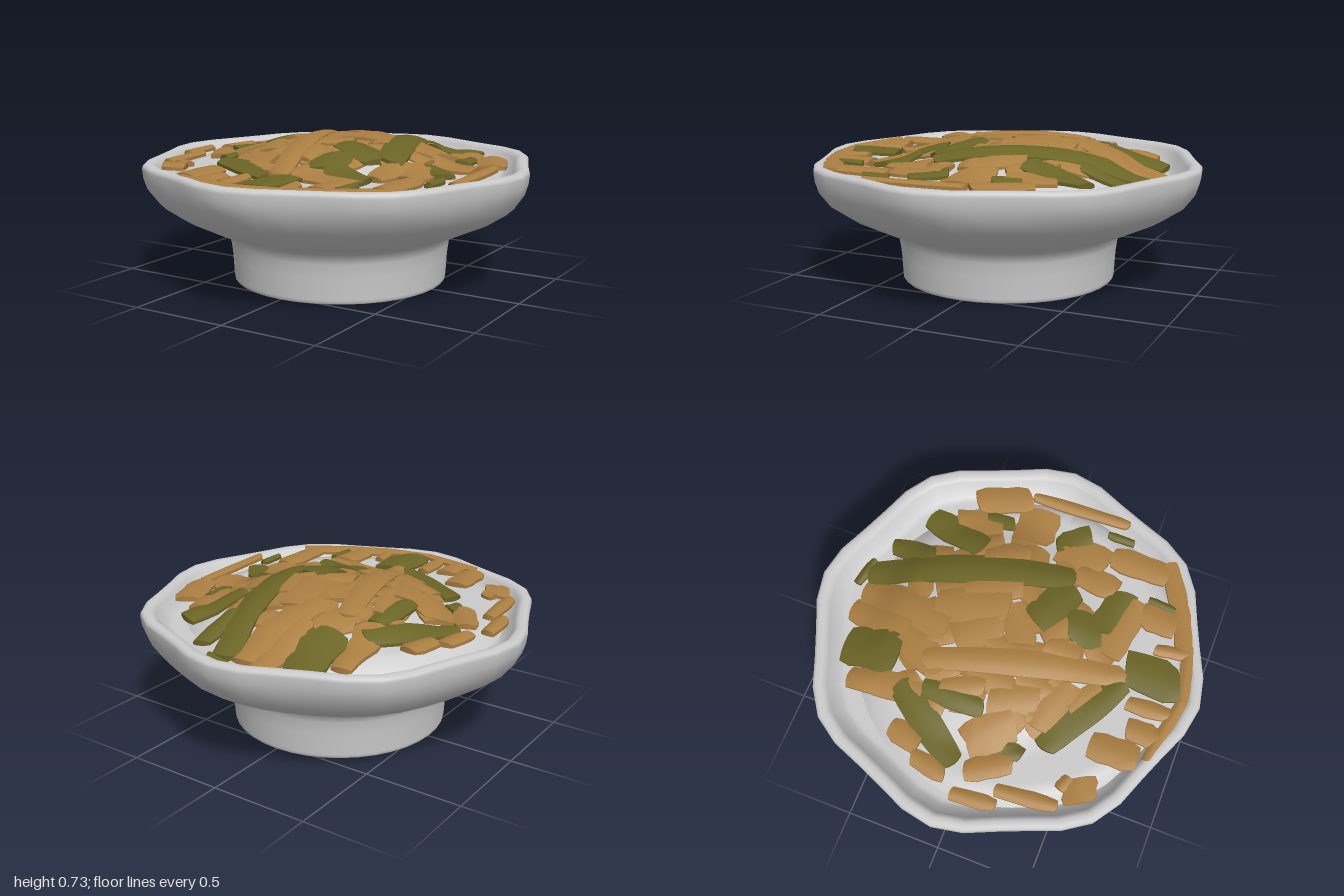
import * as THREE from 'three';
import { mergeVertices } from 'three/addons/utils/BufferGeometryUtils.js';

const mat = (color, side = THREE.FrontSide) =>
  new THREE.MeshStandardMaterial({ color, side });

// Small seeded generator for the irregular cuts
let seed = 7;
const rnd = () => {
  seed = (seed * 16807) % 2147483647;
  return seed / 2147483647;
};

// Height of the heaped food: a low dome on a nearly flat bed, lower at the back
function heapHeight(x, z) {
  const r = Math.hypot(x, z + 0.08) / 0.6;
  const dome = r < 1 ? 0.106 * (1 - Math.pow(r, 2.4)) : 0;
  const backDrop = 0.28 * Math.max(0, -z - 0.57);
  return 0.6 + dome - backDrop;
}

// Dish: one turned profile whose upper part is pulled into eight soft lobes
function dishGeometry() {
  const profile = [
    [0, 0.06], [0.445, 0.06], [0.458, 0.055], [0.5, 0.02], [0.525, 0.003], [0.542, 0],
    [0.548, 0.006], [0.55, 0.02], [0.556, 0.13], [0.565, 0.2], [0.58, 0.25], [0.7, 0.3], [0.82, 0.355],
    [0.92, 0.42], [0.977, 0.495], [0.995, 0.55], [1, 0.595], [0.997, 0.611], [0.983, 0.62],
    [0.955, 0.62], [0.938, 0.612], [0.928, 0.597], [0.9, 0.56], [0.87, 0.537], [0.857, 0.531],
    [0.84, 0.528], [0.5, 0.51], [0, 0.51],
  ].map(([r, y]) => new THREE.Vector2(r, y));
  const g = new THREE.LatheGeometry(profile, 40);
  const p = g.attributes.position;
  for (let i = 0; i < p.count; i++) {
    const x = p.getX(i), z = p.getZ(i);
    const lobe = 0.025 * THREE.MathUtils.smoothstep(p.getY(i), 0.24, 0.55);
    const k = 1 - lobe * (1 - Math.cos(8 * Math.atan2(x, z)));
    p.setX(i, x * k);
    p.setZ(i, z * k);
  }
  g.deleteAttribute('uv');
  g.deleteAttribute('normal');
  const merged = mergeVertices(g, 1e-4);
  merged.computeVertexNormals();
  return merged;
}

// Pale bed under the pieces, with its edge turned down into the dish
function bedGeometry() {
  const g = new THREE.RingGeometry(0.001, 0.82, 40, 14);
  g.rotateX(-Math.PI / 2);
  const p = g.attributes.position;
  for (let i = 0; i < p.count; i++) {
    const x = p.getX(i), z = p.getZ(i) + 0.07;
    const edge = Math.hypot(x, z - 0.07) > 0.81;
    p.setXYZ(i, x, edge ? 0.53 : heapHeight(x, z) - 0.01, z);
  }
  g.computeVertexNormals();
  return g;
}

// One flat cut piece from (x1,z1) to (x2,z2), draped over the heap
function pieceGeometry([x1, z1, x2, z2, width], lift) {
  const dx = x2 - x1, dz = z2 - z1, len = Math.hypot(dx, dz);
  const ux = dx / len, uz = dz / len;
  const thick = 0.018;
  const steps = Math.max(4, Math.ceil(len / 0.07));
  const g = new THREE.BoxGeometry(1, 1, 1, steps, 1, 4);
  const p = g.attributes.position;
  const skew = (rnd() - 0.5) * 0.6, phase = rnd() * 6, tilt = (rnd() - 0.5) * 0.08;
  for (let i = 0; i < p.count; i++) {
    const t = p.getX(i), s = p.getZ(i), top = p.getY(i) > 0;
    const taper = 1.07 - 0.2 * Math.pow(Math.abs(2 * t), 5) + 0.06 * Math.sin(t * 9 + phase);
    const along = t * len * (1.03 - 0.25 * s * s) + s * skew * width;
    const across = s * width * taper;
    const x = (x1 + x2) / 2 + ux * along - uz * across;
    const z = (z1 + z2) / 2 + uz * along + ux * across;
    const crown = top ? thick * (1 - 3 * s * s) : -thick * 0.6;
    p.setXYZ(i, x, heapHeight(x, z) + lift + crown + tilt * across, z);
  }
  g.computeVertexNormals();
  return g;
}

// Each piece: start x, z, end x, z, width
const greenPieces = [
  [-0.3, -0.75, -0.28, -0.46, 0.2], [0.28, -0.74, 0.28, -0.5, 0.1], [0.49, -0.61, 0.4, -0.28, 0.14],
  [-0.42, -0.4, -0.68, -0.01, 0.13], [-0.4, -0.28, -0.4, 0.03, 0.1], [-0.46, 0.36, -0.02, 0.61, 0.12],
  [0.07, 0.6, 0.07, 0.87, 0.19], [0.1, 0.1, 0.35, 0.23, 0.16], [0.16, 0.26, 0.17, 0.43, 0.17],
  [0.19, 0.42, 0.44, 0.47, 0.14], [0.55, 0.06, 0.68, 0.2, 0.13], [0.72, 0.28, 0.72, 0.42, 0.04],
  [-0.53, 0.19, -0.53, 0.28, 0.08], [0.58, -0.33, 0.6, -0.19, 0.08], [0.45, 0.59, 0.44, 0.73, 0.04],
  [0.03, -0.84, 0.18, -0.8, 0.05],
];
const heapPieces = [
  [-0.46, -0.66, -0.42, -0.28, 0.12], [-0.11, -0.8, -0.13, -0.46, 0.14], [0, -0.78, -0.08, -0.28, 0.17],
  [-0.18, -0.47, -0.3, -0.23, 0.15], [-0.58, 0.02, -0.4, 0.19, 0.18], [-0.7, 0.05, -0.58, 0.25, 0.11],
  [-0.36, 0.04, -0.25, 0.26, 0.15], [-0.39, 0.31, -0.13, 0.39, 0.14], [0.52, -0.47, 0.57, -0.25, 0.13],
  [0.53, -0.08, 0.73, -0.08, 0.2], [0.55, 0.08, 0.56, 0.33, 0.17], [0.45, 0.2, 0.44, 0.42, 0.13],
  [0.09, 0.49, 0.42, 0.54, 0.14], [0, 0.2, 0.02, 0.37, 0.12], [0.02, -0.38, 0.14, -0.04, 0.2],
  [-0.12, -0.23, 0.04, -0.06, 0.19], [0.13, -0.27, 0.26, -0.02, 0.15], [-0.04, 0.09, 0.1, 0.02, 0.14],
  [0.34, -0.25, 0.46, -0.05, 0.14], [-0.25, 0.42, -0.08, 0.52, 0.1], [-0.38, -0.2, -0.3, 0, 0.1],
];
const outerPieces = [
  [-0.62, -0.36, -0.66, -0.2, 0.11], [-0.72, -0.21, -0.75, -0.03, 0.09], [-0.82, 0.03, -0.8, 0.25, 0.07],
  [-0.73, 0.22, -0.7, 0.52, 0.07], [-0.65, 0.61, -0.53, 0.58, 0.15], [-0.36, 0.56, -0.35, 0.8, 0.14],
  [0.66, -0.42, 0.77, -0.16, 0.14], [0.79, -0.15, 0.81, 0.36, 0.06], [0.61, 0.34, 0.61, 0.64, 0.13],
  [0.37, 0.58, 0.36, 0.76, 0.14], [0.25, 0.85, 0.47, 0.76, 0.1], [0.44, 0.77, 0.68, 0.63, 0.1],
  [-0.34, 0.84, 0, 0.91, 0.06], [0, 0.91, 0.28, 0.86, 0.06], [-0.22, 0.7, -0.22, 0.86, 0.11],
  [-0.1, 0.66, -0.09, 0.87, 0.08], [0.21, 0.7, 0.24, 0.87, 0.06], [-0.62, 0.5, -0.55, 0.53, 0.06],
];

export function createModel() {
  const model = new THREE.Group();
  const brown = mat(0xab7f42), green = mat(0x6b6526);
  const add = (parent, name, geometry, material) => {
    const mesh = new THREE.Mesh(geometry, material);
    mesh.name = name;
    parent.add(mesh);
  };

  add(model, 'footedDish', dishGeometry(), mat(0xcccccc));

  const food = new THREE.Group();
  food.name = 'food';
  model.add(food);
  add(food, 'foodBed', bedGeometry(), mat(0xcccccc, THREE.DoubleSide));

  // Short scraps filling the dome below the larger pieces
  for (let i = 0; i < 36; i++) {
    const r = 0.55 * Math.sqrt((i + 0.5) / 36), a = i * 2.4;
    const x = r * Math.cos(a), z = r * Math.sin(a) - 0.07;
    const b = rnd() * Math.PI, h = 0.07 + rnd() * 0.03;
    const cut = [x - h * Math.cos(b), z - h * Math.sin(b), x + h * Math.cos(b), z + h * Math.sin(b), 0.12];
    add(food, 'scrap', pieceGeometry(cut, -0.004), brown);
  }
  heapPieces.forEach((c, i) => add(food, 'brownPiece', pieceGeometry(c, 0.003 + 0.002 * (i % 3)), brown));
  outerPieces.forEach((c) => add(food, 'outerPiece', pieceGeometry(c, 0.007), brown));
  greenPieces.forEach((c) => add(food, 'greenPiece', pieceGeometry(c, 0.008), green));

  // Two long strips lying on top
  add(food, 'longBrownStrip', pieceGeometry([-0.27, -0.33, 0.02, 0.6, 0.12], 0.013), brown);
  add(food, 'longGreenStrip', pieceGeometry([0.1, -0.79, 0.4, 0.2, 0.15], 0.013), green);

  return model;
}
